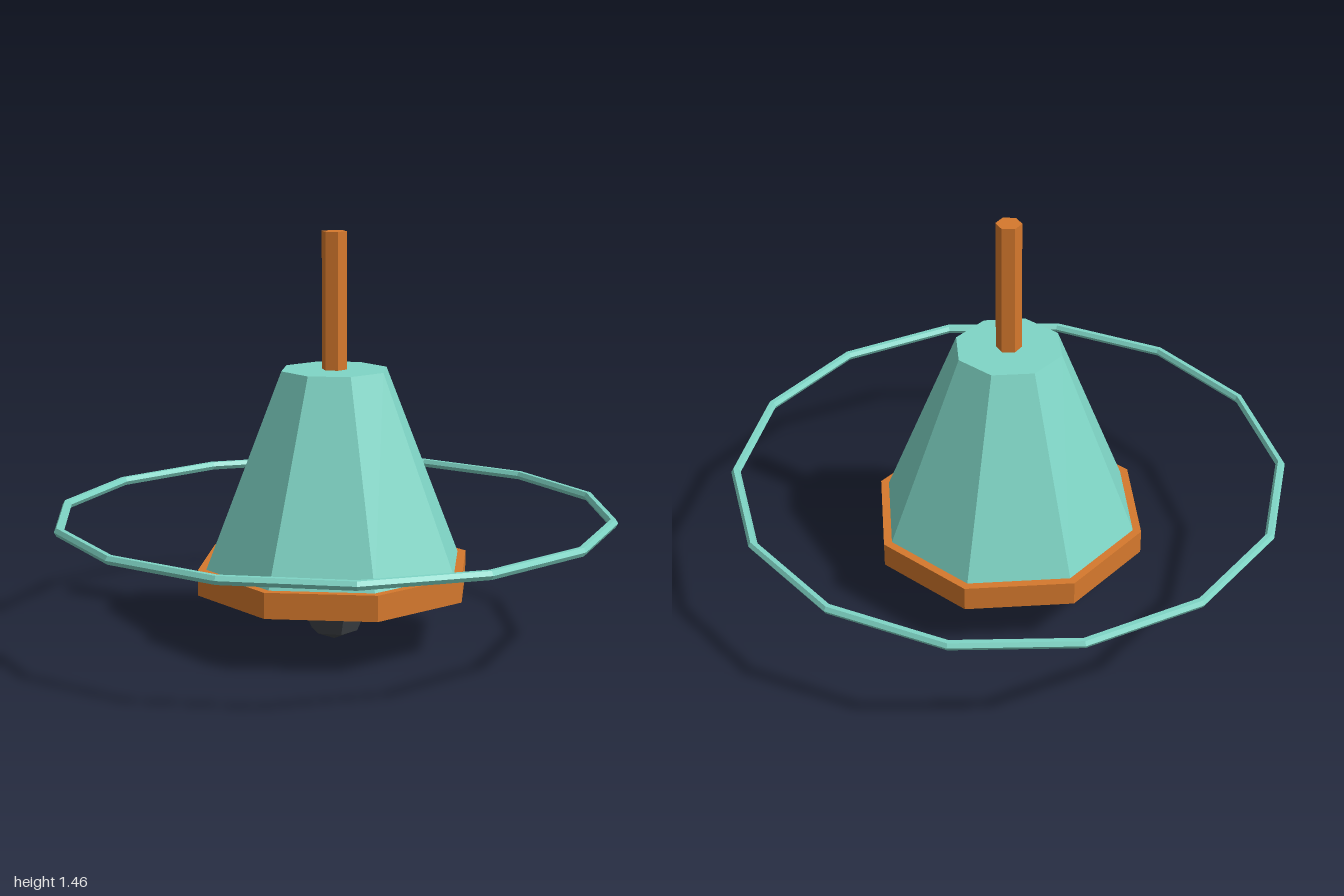
import * as THREE from 'three';

export function createModel() {
  const model = new THREE.Group();
  model.name = 'handBell';

  const material = (name, color) => {
    const m = new THREE.MeshStandardMaterial({ color, flatShading: true });
    m.name = name;
    return m;
  };
  const teal = material('teal', 0x7fd6c6);
  const orange = material('orange', 0xd6792d);
  const charcoal = material('charcoal', 0x42474b);

  const add = (name, geometry, mat, y) => {
    const mesh = new THREE.Mesh(geometry, mat);
    mesh.name = name;
    mesh.position.y = y;
    model.add(mesh);
    return mesh;
  };
  // Faceted tapered prism between two heights
  const prism = (name, rTop, rBottom, y0, y1, sides, mat) =>
    add(name, new THREE.CylinderGeometry(rTop, rBottom, y1 - y0, sides), mat, (y0 + y1) / 2);

  // Bell, its rim and the handle
  prism('bellBody', 0.193, 0.469, 0.289, 0.98, 8, teal);
  prism('rim', 0.5, 0.5, 0.198, 0.289, 8, orange);
  prism('handle', 0.045, 0.045, 0.98, 1.463, 6, orange);

  // Clapper ball below the rim, a corner facing front
  const ball = add('clapper', new THREE.SphereGeometry(0.119, 6, 4), charcoal, 0.119);
  ball.rotation.y = Math.PI / 2;

  // Thin horizontal ring around the bell
  add('ring', new THREE.TorusGeometry(0.983, 0.017, 6, 14).rotateX(Math.PI / 2), teal, 0.46);

  return model;
}
